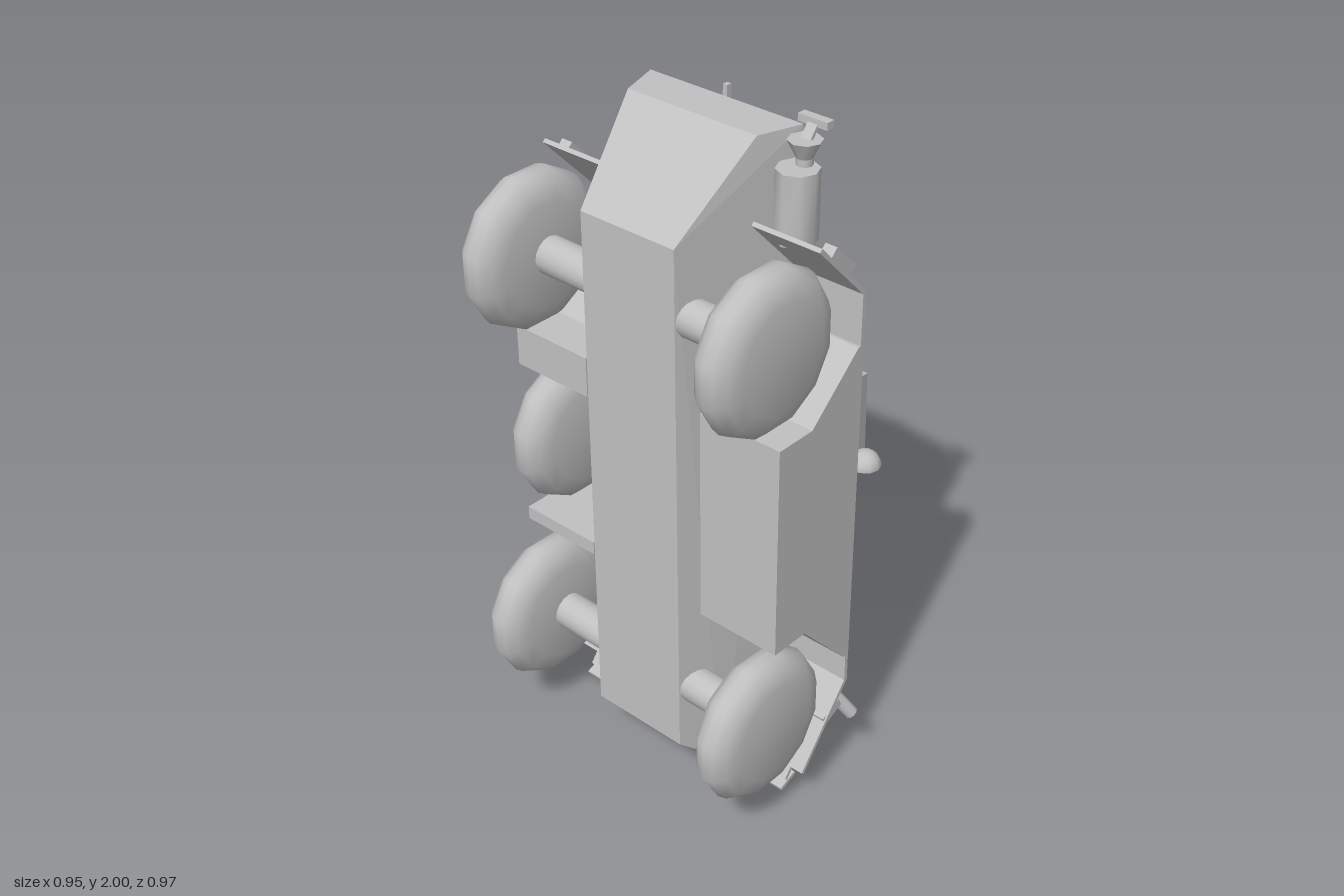
import * as THREE from 'three';
import { toCreasedNormals } from 'three/addons/utils/BufferGeometryUtils.js';
import { ConvexGeometry } from 'three/addons/geometries/ConvexGeometry.js';

// The vehicle stands on its nose: length runs along y (tail up), its roof faces -z.
export function createModel() {
  const model = new THREE.Group();
  model.name = 'armouredCar';
  const grey = new THREE.MeshStandardMaterial({ color: 0xc0c0c0 });
  grey.name = 'plain grey';

  const add = (name, geometry, x = 0, y = 0, z = 0) => {
    const mesh = new THREE.Mesh(geometry, grey);
    mesh.name = name;
    mesh.position.set(x, y, z);
    model.add(mesh);
    return mesh;
  };
  const box = (name, w, h, d, x, y, z) => add(name, new THREE.BoxGeometry(w, h, d), x, y, z);
  const cylinder = (name, r0, r1, h, x, y, z, sides = 12) =>
    add(name, toCreasedNormals(new THREE.CylinderGeometry(r0, r1, h, sides), 0.9), x, y, z);
  // Convex plated body, every [x, y, z] corner mirrored across the centre line
  const plated = (name, corners) => add(name, new ConvexGeometry(
    corners.flatMap(([x, y, z]) => (x ? [1, -1] : [1]).map((s) => new THREE.Vector3(s * x, y, z)))));
  // Flat plate running from [y, z] to [y, z]
  const slab = (name, x, width, [y0, z0], [y1, z1], thick) => {
    const mesh = box(name, width, Math.hypot(y1 - y0, z1 - z0), thick, x, (y0 + y1) / 2, (z0 + z1) / 2);
    mesh.rotation.x = Math.atan2(z1 - z0, y1 - y0);
    return mesh;
  };
  // Side profile of [y, z] points extruded across x
  const profile = (name, points, x, width) => {
    const shape = new THREE.Shape(points.map(([y, z]) => new THREE.Vector2(-z, y)));
    const geometry = new THREE.ExtrudeGeometry(shape, { depth: width, bevelEnabled: false });
    return add(name, geometry.rotateY(Math.PI / 2), x);
  };
  const halfBall = (name, r, x, y, z) => {
    add(name, new THREE.SphereGeometry(r, 10, 5, 0, Math.PI * 2, 0, Math.PI / 2), x, y, z);
    add(name + 'Face', new THREE.CircleGeometry(r, 10).rotateX(Math.PI / 2), x, y, z);
  };

  // Hull
  plated('hull', [
    [0.155, 0.16, 0.31], [0.155, 1.73, 0.31],
    [0.2, 0.05, 0.18], [0.25, 0.4, -0.05],
    [0.21, 1.96, 0.075], [0.25, 1.96, -0.05],
  ]);
  plated('engineDeck', [
    [0.25, 1.15, -0.05], [0.25, 1.96, -0.05], [0.22, 1.15, -0.08], [0.22, 1.9, -0.08],
    [0, 1.15, -0.125], [0, 1.89, -0.125],
  ]);
  plated('crewCompartment', [
    [0.25, 1.27, -0.05], [0.33, 1.03, -0.05], [0.33, 0.58, -0.05], [0.18, 0.4, -0.05],
    [0.21, 1.09, -0.24], [0.28, 0.98, -0.24], [0.28, 0.88, -0.24], [0.13, 0.61, -0.24],
  ]);

  // Turret
  const ring = cylinder('turretRing', 0.21, 0.21, 0.04, 0, 0.865, -0.255, 24);
  ring.rotation.x = Math.PI / 2;
  plated('turret', [
    [0.225, 1.09, -0.267], [0.23, 0.82, -0.267], [0.11, 0.635, -0.262],
    [0.185, 1.05, -0.45], [0.19, 0.8, -0.45], [0.09, 0.66, -0.42],
  ]);
  slab('turretFlap', -0.02, 0.1, [0.805, -0.445], [0.79, -0.485], 0.02);
  cylinder('gunBarrel', 0.008, 0.008, 0.22, 0.03, 0.57, -0.36, 8);
  box('gunMount', 0.05, 0.03, 0.05, 0.03, 0.64, -0.355);
  halfBall('searchlight', 0.047, 0.255, 0.815, -0.365);
  box('searchlightBracket', 0.07, 0.02, 0.012, 0.225, 0.825, -0.32);

  // Driver's plate with hatch and visors
  slab('driverHatch', 0, 0.17, [0.565, -0.205], [0.44, -0.092], 0.02);
  slab('driverVisor', 0, 0.07, [0.53, -0.182], [0.49, -0.146], 0.035);
  for (const s of [1, -1]) {
    slab('frontVisor', s * 0.06, 0.04, [0.447, -0.105], [0.432, -0.091], 0.03);
    const port = box('sideVisor', 0.03, 0.08, 0.042, s * 0.308, 0.91, -0.14);
    port.rotation.y = s * 0.26;
  }

  // Periscope box and aerial base on the rear corners
  const periscope = box('periscopeBox', 0.08, 0.15, 0.09, 0.27, 1.16, -0.175);
  periscope.rotation.set(0.75, 0, -0.25);
  const foot = cylinder('aerialFoot', 0.06, 0.03, 0.035, -0.3, 1.07, -0.165, 8);
  const aerial = cylinder('aerialBase', 0.012, 0.025, 0.06, -0.312, 1.07, -0.21, 8);
  foot.rotation.x = aerial.rotation.x = -Math.PI / 2;

  // Wheels and axles
  const tyre = toCreasedNormals(new THREE.LatheGeometry([
    [0, -0.065], [0.15, -0.065], [0.195, -0.052], [0.22, -0.025], [0.226, 0],
    [0.22, 0.025], [0.195, 0.052], [0.15, 0.065], [0, 0.065],
  ].map(([r, h]) => new THREE.Vector2(r, h)), 12), 0.75).rotateZ(Math.PI / 2).rotateX(Math.PI / 12);
  for (const y of [0.355, 1.525]) {
    for (const s of [1, -1]) {
      add('wheel', tyre, s * 0.395, y, 0.26);
      cylinder('axle', 0.053, 0.053, 0.2, s * 0.25, y, 0.255, 16).rotation.z = Math.PI / 2;
    }
  }
  add('spareWheel', tyre, -0.395, 0.92, 0.13);

  // Side stowage: one long bin on the left, two short ones around the spare wheel
  const rearEnd = [[1.27, 0.27], [1.27, 0.145], [1.43, -0.03], [1.43, -0.05]];
  const frontEnd = [[0.435, -0.05], [0.435, -0.03], [0.63, 0.15], [0.63, 0.27]];
  profile('stowageBin', [...rearEnd, ...frontEnd], 0.2, 0.26);
  profile('rearStowageBin', [...rearEnd, [1.15, -0.05], [1.15, 0.27]], -0.46, 0.26);
  profile('frontStowageBin', [...frontEnd, [0.67, 0.27], [0.67, -0.05]], -0.46, 0.26);

  for (const s of [1, -1]) {
    // Fenders
    slab('rearFender', s * 0.355, 0.21, [1.42, -0.044], [1.585, -0.044], 0.012);
    slab('rearFenderFlap', s * 0.355, 0.21, [1.58, -0.044], [1.765, 0.135], 0.012);
    slab('frontFender', s * 0.345, 0.23, [0.34, -0.044], [0.44, -0.044], 0.012);
    slab('frontFenderFlap', s * 0.335, 0.25, [0.345, -0.044], [0.115, 0.135], 0.012);
    slab('tailLight', s * 0.44, 0.036, [1.66, 0.01], [1.735, 0.085], 0.04);

    // Engine deck doors lying on the roof slopes
    const door = box('engineDoor', 0.17, 0.47, 0.02, s * 0.13, 1.57, -0.105);
    const panel = box('engineDoorPanel', 0.13, 0.42, 0.012, s * 0.13, 1.57, -0.112);
    const handle = box('engineDoorHandle', 0.05, 0.09, 0.02, s * 0.1, 1.47, -0.122);
    door.rotation.y = panel.rotation.y = handle.rotation.y = -s * 0.2;

    // Headlights and smoke launchers
    halfBall('headlight', 0.045, s * 0.31, 0.155, -0.065);
    slab('headlightStalk', s * 0.31, 0.03, [0.18, -0.05], [0.22, 0.05], 0.03);
    slab('launcherBracket', s * 0.39, 0.13, [0.27, -0.03], [0.24, 0.04], 0.03);
    for (let i = -1; i <= 1; i++) {
      const tube = cylinder('smokeLauncher', 0.02, 0.02, 0.1, s * (0.395 + i * 0.042), 0.235, -0.062, 10);
      tube.rotation.set(0.5, 0, s * i * 0.4);
    }
  }

  // Front bumper with turned lip
  slab('bumper', 0, 0.77, [0.11, 0.055], [0.03, 0.115], 0.012);
  slab('bumperLip', 0, 0.77, [0.03, 0.075], [0.006, 0.135], 0.012);
  for (const s of [1, -1]) slab('bumperArm', s * 0.18, 0.03, [0.07, 0.09], [0.17, 0.13], 0.03);

  // Exhaust at the left of the tail, and the towing eye
  cylinder('muffler', 0.056, 0.056, 0.19, 0.3, 1.795, 0.03, 8);
  cylinder('exhaustFlare', 0.045, 0.02, 0.05, 0.3, 1.93, 0.005, 8);
  cylinder('exhaustStem', 0.022, 0.022, 0.04, 0.3, 1.9, 0.005, 8);
  box('exhaustCap', 0.09, 0.02, 0.025, 0.3, 1.99, -0.033);
  slab('exhaustHinge', 0.3, 0.03, [1.94, 0.01], [1.985, -0.025], 0.01);
  box('towingEye', 0.014, 0.04, 0.016, 0, 1.97, -0.058);

  return model;
}
